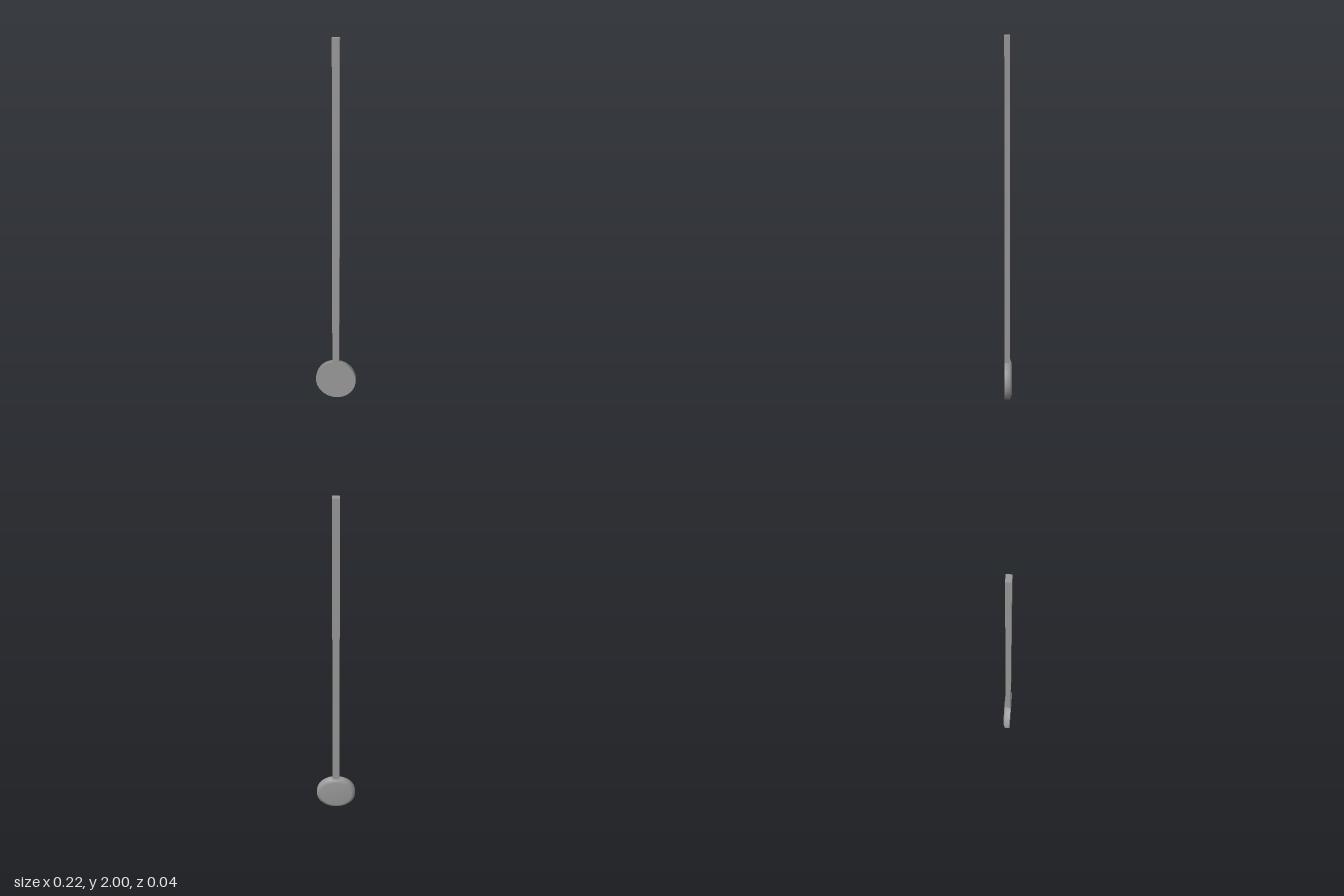
import * as THREE from 'three';

const RADIUS = 0.112, FRONT = 0.0195, BACK = -0.0195, SHOULDER = -0.0095, SIDES = 48;

export function createModel() {
  const model = new THREE.Group();
  const material = new THREE.MeshStandardMaterial({ color: 0x999999 });
  const add = (name, geometry, parent = model) => {
    const mesh = new THREE.Mesh(geometry, material);
    mesh.name = name;
    parent.add(mesh);
  };

  // Rectangular rod, flush with the front of the disc and ending at its rim
  const rodBottom = 0.221, rodTop = 2;
  const rod = new THREE.BoxGeometry(0.038, rodTop - rodBottom, FRONT - SHOULDER);
  rod.translate(0, (rodTop + rodBottom) / 2, (FRONT + SHOULDER) / 2);
  add('rod', rod);

  // Round bob: flat sharp-edged front, softly bevelled back
  const bob = new THREE.Group();
  bob.name = 'bob';
  bob.position.y = RADIUS;
  model.add(bob);

  const profile = [
    [RADIUS, -FRONT],
    [RADIUS, -SHOULDER],
    [0.09, -BACK],
    [0, -BACK],
  ].map(([r, h]) => new THREE.Vector2(r, h));
  add('bobBack', new THREE.LatheGeometry(profile, SIDES).rotateX(-Math.PI / 2), bob);

  const face = new THREE.CircleGeometry(RADIUS, SIDES).translate(0, 0, FRONT);
  add('bobFace', face, bob);

  return model;
}
